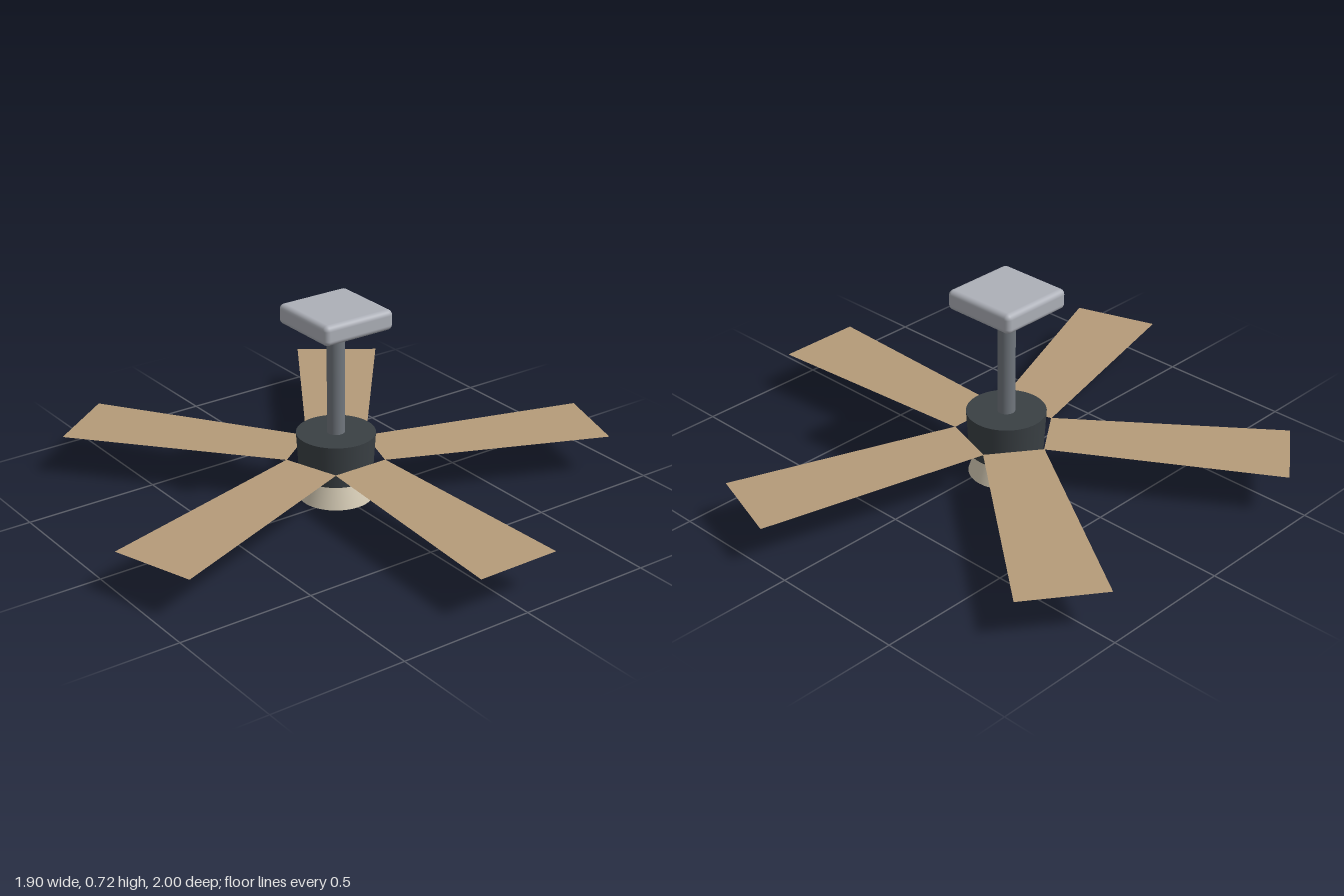
import * as THREE from 'three';
import { RoundedBoxGeometry } from 'three/addons/geometries/RoundedBoxGeometry.js';

const mat = (name, color, side = THREE.FrontSide) => {
  const m = new THREE.MeshStandardMaterial({ color, side });
  m.name = name;
  return m;
};

export function createModel() {
  const silver = mat('silver', 0xadb0b8);
  const steel = mat('steel grey', 0x70767d);
  const charcoal = mat('charcoal', 0x3a4044);
  const cream = mat('cream glass', 0xd4cab4);
  const wood = mat('tan wood', 0xb59b79, THREE.DoubleSide);

  const fan = new THREE.Group();
  fan.name = 'ceilingFan';
  fan.position.x = -0.05; // the five blades put the hub left of centre

  const add = (name, geometry, material, y = 0) => {
    const mesh = new THREE.Mesh(geometry, material);
    mesh.name = name;
    mesh.position.y = y;
    fan.add(mesh);
    return mesh;
  };
  // upright tapered drum between two heights
  const drum = (name, rTop, rBottom, y0, y1, material) =>
    add(name, new THREE.CylinderGeometry(rTop, rBottom, y1 - y0, 48), material, (y0 + y1) / 2);

  // ceiling mount, down rod, motor and lamp
  add('ceilingMount', new RoundedBoxGeometry(0.29, 0.075, 0.29, 4, 0.02), silver, 0.686);
  drum('downRod', 0.032, 0.032, 0.24, 0.637, steel);
  drum('motorHousing', 0.143, 0.133, 0.088, 0.247, charcoal);
  drum('lampShade', 0.108, 0.136, 0, 0.088, cream);

  // flat blade, widening and drooping slightly towards its tip
  const blade = new THREE.BufferGeometry();
  blade.setAttribute('position', new THREE.Float32BufferAttribute([
    0.148, 0.162, -0.109,
    0.148, 0.162, 0.109,
    1.0, 0.151, 0.158,
    1.0, 0.151, -0.158,
  ], 3));
  blade.setIndex([0, 1, 2, 0, 2, 3]);
  blade.computeVertexNormals();

  for (let i = 0; i < 5; i++) {
    add(`blade${i + 1}`, blade, wood).rotation.y = (i * Math.PI * 2) / 5;
  }

  const model = new THREE.Group();
  model.add(fan);
  return model;
}
